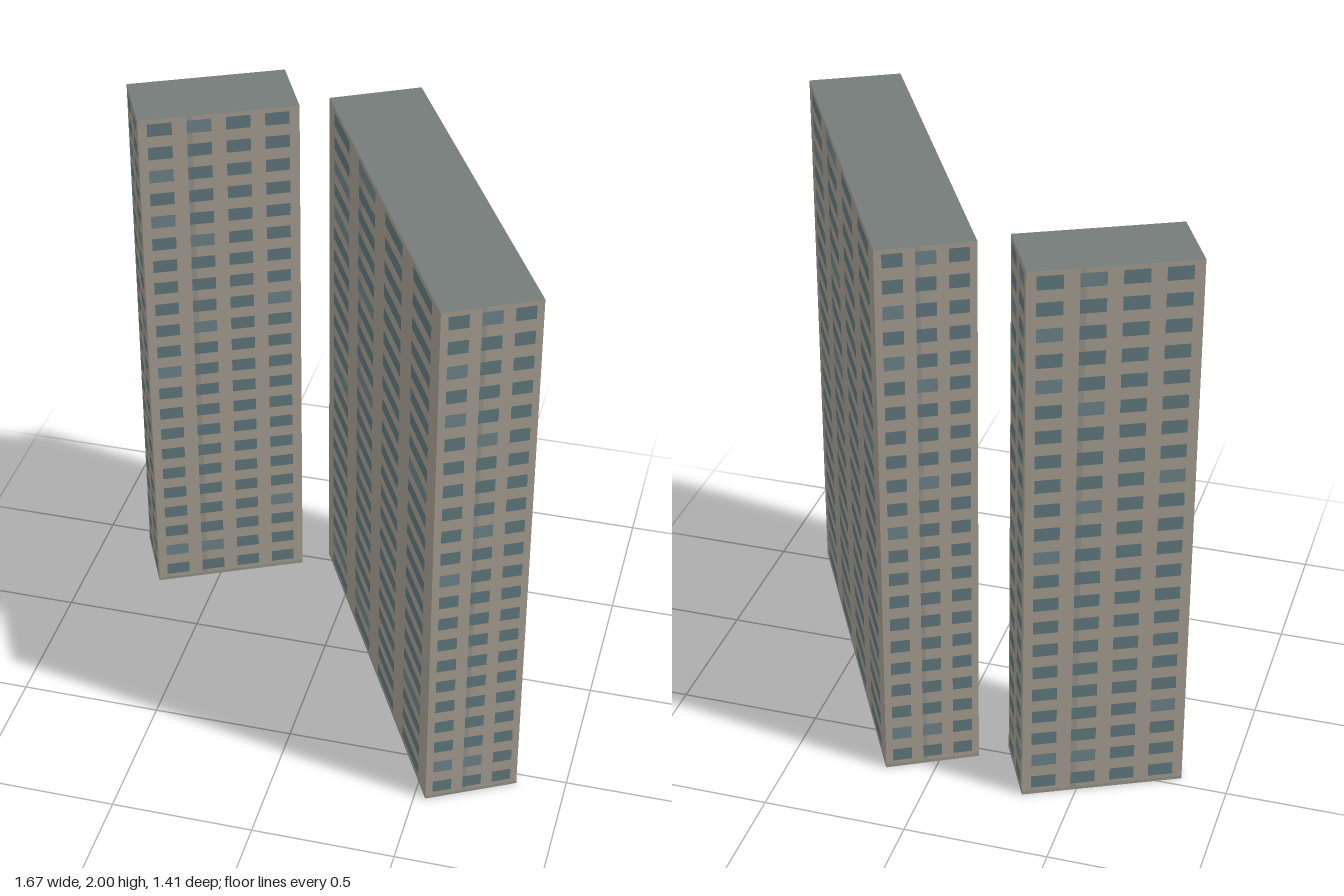
import * as THREE from 'three';
import { mergeGeometries } from 'three/addons/utils/BufferGeometryUtils.js';

const HEIGHT = 2, FLOORS = 22, PITCH = HEIGHT / FLOORS;
const COLUMN_STARTS = [0.056, 0.299, 0.542, 0.785];
const COLUMN_WIDTH = 0.152;
// floor (counted from the top) and column of the paler panes
const PALE = new Set(['2,0', '4,0', '11,0', '20,0', '0,1', '5,1', '9,1', '20,1', '8,3', '18,3']);

const paint = (color, side = THREE.FrontSide) => new THREE.MeshStandardMaterial({ color, side });
const wallMat = paint(0xa39c90, THREE.DoubleSide);
const roofMat = paint(0x757c79, THREE.DoubleSide);
const glassMat = paint(0x5f777b);
const paleMat = paint(0x6c8287);
const streakMat = paint(0x949389);

function addMesh(group, name, geometry, material) {
  const mesh = new THREE.Mesh(geometry, material);
  mesh.name = name;
  group.add(mesh);
}

// upright rectangle centred at x, y and lifted z off the wall
const panel = (w, h, x, y, z) => new THREE.PlaneGeometry(w, h).translate(x, y, z);

// One facade of the given width, facing +z, with its rows of windows
function makeFacade(width, columns) {
  const facade = new THREE.Group();
  facade.name = 'facade';
  const scale = width * 4 / columns;
  const xAt = u => u * scale - width / 2;

  addMesh(facade, 'wall', panel(width, HEIGHT, 0, HEIGHT / 2, 0), wallMat);
  addMesh(facade, 'wallStreak', panel(0.035 * scale, HEIGHT, xAt(0.317), HEIGHT / 2, 0.001), streakMat);
  addMesh(facade, 'baseStrip', panel(width, 0.012, 0, 0.006, 0.001), streakMat);

  const dark = [], pale = [];
  for (let row = 0; row < FLOORS; row++) {
    for (let col = 0; col < columns; col++) {
      const x = xAt(COLUMN_STARTS[col] + COLUMN_WIDTH / 2);
      const y = HEIGHT - 0.04 - row * PITCH;
      const pane = panel(COLUMN_WIDTH * scale, 0.048, x, y, 0.002);
      (PALE.has(`${row},${col}`) ? pale : dark).push(pane);
    }
  }
  addMesh(facade, 'windows', mergeGeometries(dark), glassMat);
  addMesh(facade, 'paleWindows', mergeGeometries(pale), paleMat);
  return facade;
}

// Block with an open underside; start is its front-left corner, heading turns its long side
function makeTower(name, [cx, cz], length, depth, heading, endColumns) {
  const tower = new THREE.Group();
  tower.name = name;
  for (let i = 0; i < 4; i++) {
    const isLong = i % 2 === 0;
    const facade = makeFacade(isLong ? length : depth, isLong ? 4 : endColumns);
    const angle = i * Math.PI / 2;
    const reach = (isLong ? depth : length) / 2;
    facade.position.set(Math.sin(angle) * reach, 0, Math.cos(angle) * reach);
    facade.rotation.y = angle;
    tower.add(facade);
  }
  const roof = new THREE.PlaneGeometry(length, depth).rotateX(-Math.PI / 2).translate(0, HEIGHT, 0);
  addMesh(tower, 'roof', roof, roofMat);
  tower.position.set(cx, 0, cz);
  tower.rotation.y = heading;
  return tower;
}

export function createModel() {
  const model = new THREE.Group();
  model.name = 'towerBlocks';
  model.add(
    makeTower('longTower', [0.353, 0.002], 1.407, 0.329, Math.atan2(-1.24, 0.665), 3),
    makeTower('shortTower', [-0.522, -0.46], 0.561, 0.273, Math.atan2(0.245, 0.505), 2),
  );
  return model;
}
